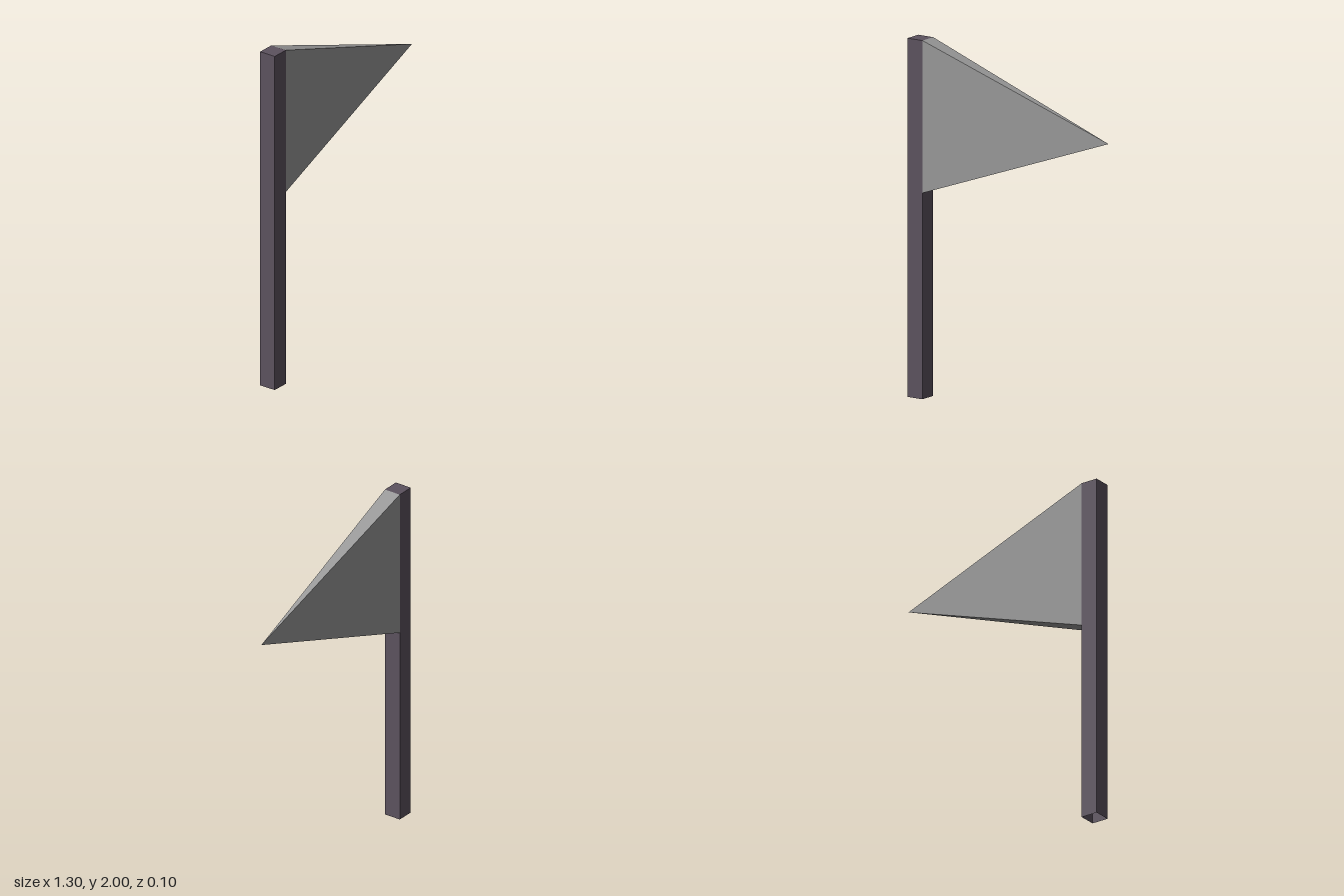
import * as THREE from 'three';

const poleColor = new THREE.MeshStandardMaterial({ name: 'dark plum grey', color: 0x5c525e, side: THREE.DoubleSide });
const flagColor = new THREE.MeshStandardMaterial({ name: 'mid grey', color: 0x989898, side: THREE.DoubleSide });

const WIDTH = 0.1, HEIGHT = 2, POLE_X = -0.6;

// Square hollow pole: a box whose bottom face is left out
function makePole() {
  const geometry = new THREE.BoxGeometry(WIDTH, HEIGHT, WIDTH);
  const faces = Array.from(geometry.index.array);
  faces.splice(18, 6);
  geometry.setIndex(faces);
  geometry.clearGroups();
  geometry.translate(POLE_X, HEIGHT / 2, 0);
  const pole = new THREE.Mesh(geometry, poleColor);
  pole.name = 'pole';
  return pole;
}

// Pennant: a four-sided pyramid lying on its side, its base against the pole
function makeFlag() {
  const length = 1.2, height = 0.85;
  const cone = new THREE.ConeGeometry(Math.SQRT1_2, 1, 4, 1, true);
  cone.rotateY(Math.PI / 4);
  cone.rotateZ(-Math.PI / 2);
  cone.scale(length, height, WIDTH);
  cone.translate(POLE_X + WIDTH / 2 + length / 2, HEIGHT - height / 2, 0);
  const geometry = cone.toNonIndexed();
  geometry.computeVertexNormals();
  const flag = new THREE.Mesh(geometry, flagColor);
  flag.name = 'flag';
  return flag;
}

export function createModel() {
  const model = new THREE.Group();
  model.name = 'pennantOnPole';
  model.add(makePole(), makeFlag());
  return model;
}
